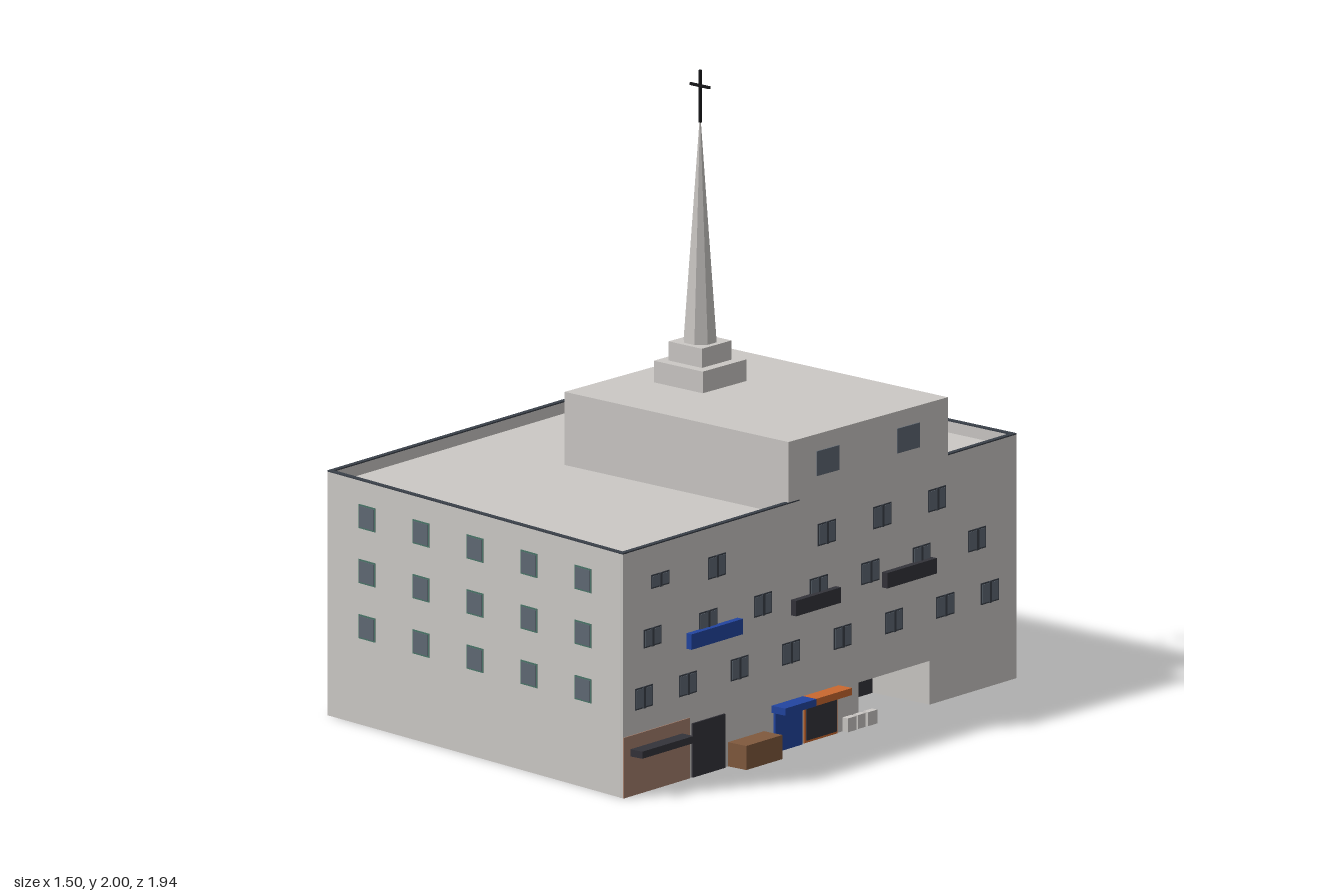
import * as THREE from 'three';

const paint = (name, color) => {
  const m = new THREE.MeshStandardMaterial({ color, side: THREE.DoubleSide });
  m.name = name;
  return m;
};

export function createModel() {
  const wallMat = paint('pale plaster', 0xcbc8c5);
  const glass = paint('slate glass', 0x5f6873);
  const frameMat = paint('dark frame', 0x3a4049);
  const green = paint('green frame', 0x4a7568);
  const dark = paint('charcoal', 0x34333a);
  const blue = paint('blue', 0x2245a0);
  const orange = paint('orange', 0xc9682f);
  const brown = paint('brown', 0x80593d);
  const salmon = paint('salmon', 0xa47e6c);
  const black = paint('black', 0x18181a);

  const model = new THREE.Group();
  model.name = 'churchBuilding';
  const H = 0.79, T = 0.012;

  // Box given by its lower and upper corners
  const block = (parent, name, mat, x0, x1, y0, y1, z0, z1) => {
    const mesh = new THREE.Mesh(new THREE.BoxGeometry(x1 - x0, y1 - y0, z1 - z0), mat);
    mesh.position.set((x0 + x1) / 2, (y0 + y1) / 2, (z0 + z1) / 2);
    mesh.name = name;
    parent.add(mesh);
    return mesh;
  };

  // Wall between two footprint corners; local x runs along it, local z points outward
  const makeWall = (name, [ax, az], [bx, bz], notch) => {
    const wall = new THREE.Group();
    wall.name = name;
    const L = Math.hypot(bx - ax, bz - az);
    wall.position.set(ax, 0, az);
    wall.rotation.y = Math.atan2(az - bz, bx - ax);
    const s = new THREE.Shape();
    s.moveTo(0, 0);
    if (notch) {
      const [n0, n1, h] = notch;
      s.lineTo(n0, 0);
      s.lineTo(n0, h);
      s.lineTo(n1, h);
      s.lineTo(n1, 0);
    }
    s.lineTo(L, 0);
    s.lineTo(L, H);
    s.lineTo(0, H);
    const mesh = new THREE.Mesh(new THREE.ExtrudeGeometry(s, { depth: T, bevelEnabled: false }), wallMat);
    mesh.position.z = -T;
    mesh.name = name + 'Panel';
    wall.add(mesh);
    block(wall, 'parapetCap', frameMat, 0, L, H, H + 0.004, -T - 0.004, 0.001);
    wall.userData.span = L;
    model.add(wall);
    return wall;
  };

  // Window visible on both faces of its wall
  const addWindow = (wall, x, y, w, h, frame, split) => {
    const g = new THREE.Group();
    g.name = 'window';
    const b = 0.005;
    block(g, 'windowFrame', frame, x - w / 2, x + w / 2, y - h / 2, y + h / 2, -T - 0.002, 0.002);
    block(g, 'windowGlass', glass, x - w / 2 + b, x + w / 2 - b, y - h / 2 + b, y + h / 2 - b, -T - 0.004, 0.004);
    if (split) block(g, 'mullion', frame, x - 0.005, x + 0.005, y - h / 2, y + h / 2, -T - 0.006, 0.006);
    wall.add(g);
  };

  // Skewed footprint
  const backLeft = [-0.75, -0.955], backRight = [0.612, -0.972];
  const frontRight = [0.69, 0.968], frontLeft = [-0.69, 0.812];
  const sideL = Math.hypot(0.078, 1.94);
  const at = z => (0.968 - z) / 1.94 * sideL;   // distance along the street wall

  const front = makeWall('frontWall', frontLeft, frontRight);
  const street = makeWall('streetWall', frontRight, backRight, [at(-0.195), at(-0.545), 0.142]);
  const back = makeWall('backWall', backRight, backLeft);
  const shopWall = makeWall('shopWall', backLeft, frontLeft);

  // Front and back windows
  for (const [wall, frame] of [[front, green], [back, green]])
    for (const y of [0.675, 0.497, 0.318])
      for (let i = 0; i < 5; i++)
        addWindow(wall, wall.userData.span * (0.134 + 0.183 * i), y, 0.078, 0.078, frame, false);

  // Shop side: windows, shop fronts and signs
  const LS = shopWall.userData.span;
  for (const y of [0.675, 0.497, 0.318])
    for (let i = 0; i < 7; i++)
      addWindow(shopWall, LS * (0.095 + 0.135 * i), y, 0.1, 0.09, frameMat, false);
  for (let i = 0; i < 6; i++)
    block(shopWall, 'shopFront', dark, LS * (i / 6 + 0.01), LS * ((i + 1) / 6 - 0.01), 0, 0.17, -T - 0.003, 0.004);
  for (const [a, b] of [[0.345, 0.495], [0.84, 0.99]])
    block(shopWall, 'shopSign', brown, LS * a, LS * b, 0.177, 0.208, 0, 0.016);

  // Street side windows: height, pane height, z positions
  const rows = [
    [0.307, 0.07, [0.865, 0.648, 0.394, 0.14, -0.114, -0.368, -0.62, -0.84]],
    [0.49, 0.07, [0.548, 0.278, 0.003, -0.25, -0.503, -0.777]],
    [0.495, 0.06, [0.823]],
    [0.66, 0.072, [0.505, -0.036, -0.31, -0.58]],
    [0.673, 0.045, [0.785]],
  ];
  for (const [y, h, zs] of rows)
    for (const z of zs) addWindow(street, at(z), y, 0.088, h, frameMat, true);

  // Street details: name, colour, z from, z to, y from, y to, depth
  const details = [
    ['balcony', blue, 0.655, 0.402, 0.422, 0.472, 0.022],
    ['balcony', dark, 0.14, -0.082, 0.427, 0.477, 0.022],
    ['balcony', dark, -0.31, -0.553, 0.427, 0.477, 0.022],
    ['salmonShopPanel', salmon, 0.968, 0.642, 0, 0.196, 0.004],
    ['darkAwning', dark, 0.935, 0.68, 0.13, 0.153, 0.052],
    ['shopDoor', dark, 0.63, 0.47, 0, 0.175, 0.006],
    ['brownCrate', brown, 0.45, 0.272, 0, 0.078, 0.075],
    ['blueDoor', blue, 0.225, 0.092, 0, 0.13, 0.008],
    ['blueAwning', blue, 0.235, 0.08, 0.13, 0.153, 0.056],
    ['orangeDoorFrame', orange, 0.078, -0.085, 0, 0.13, 0.004],
    ['darkDoor', dark, 0.07, -0.078, 0.008, 0.13, 0.008],
    ['orangeAwning', orange, 0.08, -0.097, 0.13, 0.153, 0.054],
    ['concreteStep', wallMat, -0.115, -0.158, 0, 0.045, 0.022],
    ['concreteStep', wallMat, -0.168, -0.205, 0, 0.045, 0.02],
    ['concreteStep', wallMat, -0.215, -0.26, 0, 0.045, 0.022],
  ];
  for (const [name, mat, z0, z1, y0, y1, d] of details)
    block(street, name, mat, at(z0), at(z1), y0, y1, 0, d);

  // Recessed gateway without a floor
  const g0 = at(-0.195), g1 = at(-0.545), deep = -0.24;
  block(street, 'gatewaySide', wallMat, g0 - 0.008, g0, 0, 0.15, deep, -T);
  block(street, 'gatewaySide', wallMat, g1, g1 + 0.008, 0, 0.15, deep, -T);
  block(street, 'gatewayCeiling', wallMat, g0, g1, 0.142, 0.15, deep, -T);
  block(street, 'gatewayDoor', dark, g0, g1, 0, 0.142, deep, deep + 0.008);

  // Flat roof below the parapet
  const outline = new THREE.Shape([backLeft, frontLeft, frontRight, backRight]
    .map(([x, z]) => new THREE.Vector2(x * 0.995, -z * 0.995)));
  const roof = new THREE.Mesh(new THREE.ShapeGeometry(outline), wallMat);
  roof.rotation.x = -Math.PI / 2;
  roof.position.y = 0.752;
  roof.name = 'roof';
  model.add(roof);

  // Rooftop storey
  block(model, 'rooftopStorey', wallMat, -0.285, 0.656, 0.753, 0.99, -0.6, 0.15);
  for (const z of [-0.033, -0.412])
    block(model, 'rooftopWindow', glass, 0.655, 0.66, 0.855, 0.935, z - 0.052, z + 0.052);

  // Stepped base, octagonal spire and cross
  const cx = -0.053, cz = -0.228;
  block(model, 'spireBase', wallMat, cx - 0.103, cx + 0.103, 0.99, 1.06, cz - 0.103, cz + 0.103);
  block(model, 'spirePlinth', wallMat, cx - 0.07, cx + 0.07, 1.06, 1.122, cz - 0.07, cz + 0.07);
  const spireMat = wallMat.clone();
  spireMat.name = 'spire plaster';
  spireMat.flatShading = true;
  const spire = new THREE.Mesh(new THREE.CylinderGeometry(0.002, 0.055, 0.718, 8), spireMat);
  spire.rotation.y = Math.PI / 8;
  spire.position.set(cx, 1.122 + 0.359, cz);
  spire.name = 'spire';
  model.add(spire);
  block(model, 'crossPost', black, cx - 0.004, cx + 0.004, 1.83, 2, cz - 0.004, cz + 0.004);
  block(model, 'crossBar', black, cx - 0.041, cx + 0.041, 1.945, 1.953, cz - 0.004, cz + 0.004);

  return model;
}
